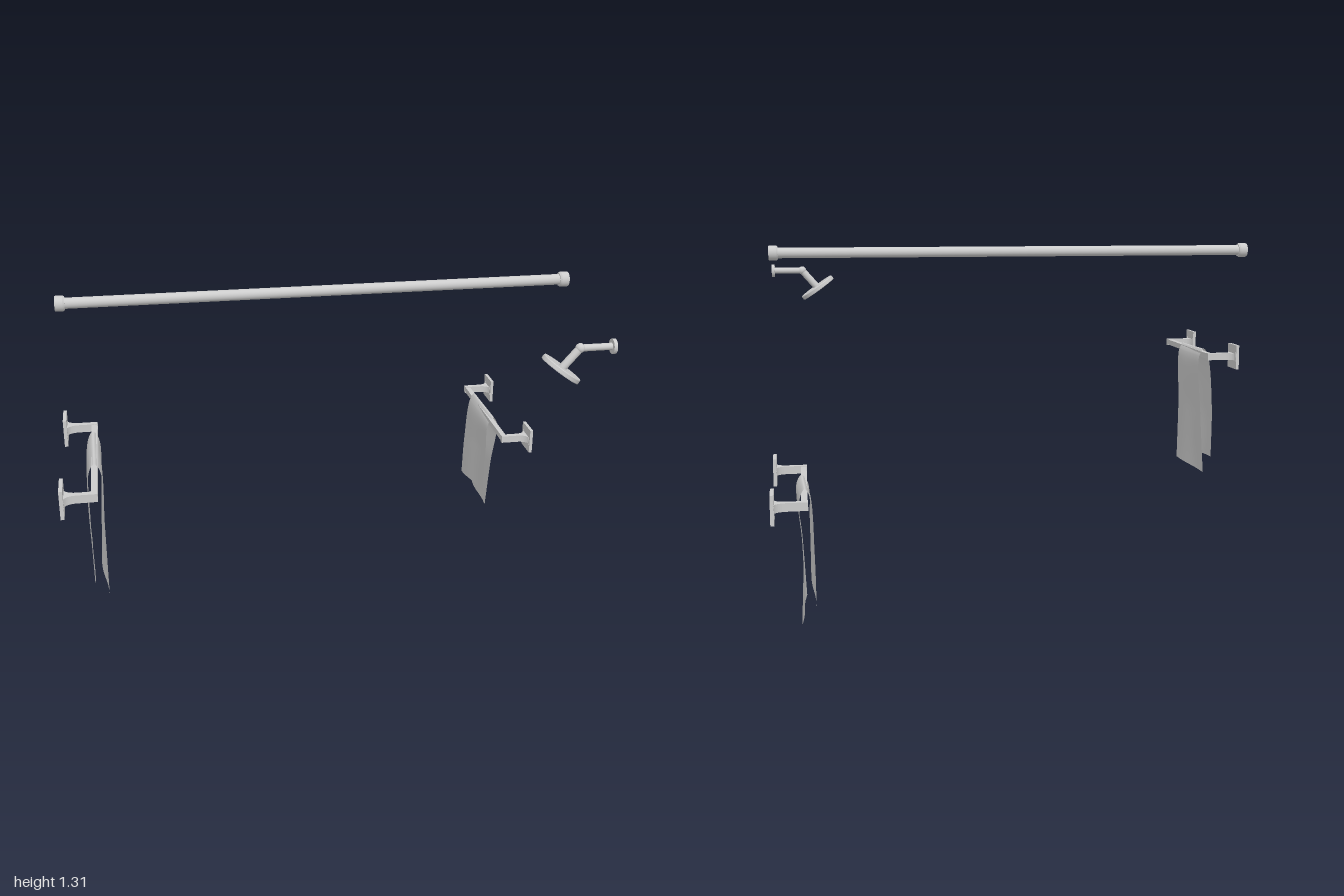
import * as THREE from 'three';

const grey = new THREE.MeshStandardMaterial({ color: 0xcccccc });
const cloth = new THREE.MeshStandardMaterial({ color: 0xcccccc, side: THREE.DoubleSide });

function add(parent, name, geometry, material = grey) {
  const mesh = new THREE.Mesh(geometry, material);
  mesh.name = name;
  parent.add(mesh);
  return mesh;
}

// Closed lathe profile of [radius, height] pairs, each edge kept sharp
function lathe(profile, segments = 32) {
  const pts = [];
  for (let i = 0; i < profile.length - 1; i++) {
    pts.push(new THREE.Vector2(...profile[i]), new THREE.Vector2(...profile[i + 1]));
  }
  return new THREE.LatheGeometry(pts, segments);
}

// Cylinder between two points
function rodBetween(parent, name, a, b, radius) {
  const from = new THREE.Vector3(...a), to = new THREE.Vector3(...b);
  const dir = to.clone().sub(from);
  const mesh = add(parent, name, new THREE.CylinderGeometry(radius, radius, dir.length(), 24));
  mesh.position.copy(from).add(to).multiplyScalar(0.5);
  mesh.quaternion.setFromUnitVectors(new THREE.Vector3(0, 1, 0), dir.normalize());
  return mesh;
}

// Wall bracket: slotted square plate at x = 0 with a flared arm reaching to +x
function bracket() {
  const g = new THREE.Group();
  g.name = 'wallBracket';
  const h = 0.0525;
  const plate = new THREE.Shape();
  plate.moveTo(-h, -h).lineTo(h, -h).lineTo(h, h).lineTo(-h, h).closePath();
  for (const s of [-0.04, 0.04]) {
    const slot = new THREE.Path();
    slot.moveTo(s - 0.003, -0.022).lineTo(s - 0.003, 0.022);
    slot.lineTo(s + 0.003, 0.022).lineTo(s + 0.003, -0.022).closePath();
    plate.holes.push(slot);
  }
  const plateMesh = add(g, 'wallPlate', new THREE.ExtrudeGeometry(plate, { depth: 0.013, bevelEnabled: false }));
  plateMesh.rotation.y = Math.PI / 2;

  const arm = new THREE.Shape();
  arm.moveTo(0.01, -0.04);
  arm.quadraticCurveTo(0.02, -0.012, 0.055, -0.011);
  arm.lineTo(0.127, -0.011).lineTo(0.127, 0.011).lineTo(0.055, 0.011);
  arm.quadraticCurveTo(0.02, 0.012, 0.01, 0.04);
  const armMesh = add(g, 'flaredArm', new THREE.ExtrudeGeometry(arm, { depth: 0.03, bevelEnabled: false, curveSegments: 8 }));
  armMesh.rotation.x = Math.PI / 2;
  armMesh.position.y = 0.015;
  return g;
}

// Two brackets on the wall x = -1 joined by a square bar
function towelBar(y) {
  const g = new THREE.Group();
  g.name = 'towelBar';
  for (const z of [0.198, 0.797]) {
    const b = bracket();
    b.position.set(-1, y, z);
    g.add(b);
  }
  add(g, 'bar', new THREE.BoxGeometry(0.022, 0.024, 0.6)).position.set(-0.885, y + 0.001, 0.4975);
  return g;
}

// Cloth lofted between its two draped side edges
function towel(edgeA, edgeB) {
  const [a, b] = [edgeA, edgeB].map(
    (e) => new THREE.CatmullRomCurve3(e.map((p) => new THREE.Vector3(...p)), false, 'centripetal'));
  const geo = new THREE.PlaneGeometry(1, 1, 10, 72);
  const uv = geo.attributes.uv, pos = geo.attributes.position;
  for (let i = 0; i < pos.count; i++) {
    const u = uv.getX(i), v = uv.getY(i);
    const p = a.getPoint(v).lerp(b.getPoint(v), u);
    const hang = Math.abs(v - 0.5) * 2;
    p.x += 0.003 * hang * Math.sin(u * Math.PI * 2);
    pos.setXYZ(i, p.x, p.y, p.z);
  }
  geo.computeVertexNormals();
  return geo;
}

export function createModel() {
  const model = new THREE.Group();
  model.name = 'bathroomFittings';

  // Hollow curtain rod with a collar at each end
  const rod = add(model, 'curtainRod', lathe([
    [0.018, -1], [0.028, -1], [0.03, -0.995], [0.03, -0.97], [0.026, -0.963], [0.021, -0.963],
    [0.021, 0.963], [0.026, 0.963], [0.03, 0.97], [0.03, 0.995], [0.028, 1], [0.018, 1], [0.018, -1],
  ]));
  rod.rotation.z = -Math.PI / 2;
  rod.position.set(0, 1.277, 0.103);

  // Shower head on a bent arm
  const shower = new THREE.Group();
  shower.name = 'showerHead';
  shower.position.z = 0.625;
  model.add(shower);
  rodBetween(shower, 'wallFlange', [1, 1.18, 0], [0.987, 1.18, 0], 0.028);
  rodBetween(shower, 'showerArm', [0.99, 1.18, 0], [0.868, 1.18, 0], 0.013);
  add(shower, 'joint', new THREE.SphereGeometry(0.018, 20, 14)).position.set(0.868, 1.18, 0);
  rodBetween(shower, 'showerNeck', [0.868, 1.18, 0], [0.806, 1.108, 0], 0.015);
  const disc = add(shower, 'sprayDisc', lathe([
    [0, -0.009], [0.08, -0.009], [0.081, -0.006], [0.081, 0.006], [0.079, 0.009], [0, 0.009],
  ], 40));
  disc.position.set(0.802, 1.104, 0);
  disc.rotation.z = -0.62;

  // Towel bars on opposite walls
  model.add(towelBar(0.809));
  const lower = towelBar(0.456);
  lower.rotation.y = Math.PI;
  model.add(lower);

  // Draped towels: short flap, fold over the bar, long flap
  add(model, 'upperTowel', towel(
    [[-0.915, 0.33, 0.57], [-0.915, 0.58, 0.575], [-0.905, 0.8, 0.58], [-0.885, 0.829, 0.58],
      [-0.866, 0.8, 0.58], [-0.865, 0.55, 0.573], [-0.865, 0.285, 0.585]],
    [[-0.925, 0.345, 0.27], [-0.928, 0.58, 0.28], [-0.91, 0.8, 0.295], [-0.89, 0.832, 0.295],
      [-0.869, 0.8, 0.295], [-0.878, 0.55, 0.29], [-0.895, 0.27, 0.285]]), cloth);
  add(model, 'lowerTowel', towel(
    [[0.868, 0.1, -0.4], [0.868, 0.3, -0.395], [0.871, 0.445, -0.39], [0.893, 0.476, -0.39],
      [0.913, 0.445, -0.39], [0.897, 0.25, -0.4], [0.885, 0.018, -0.412]],
    [[0.853, 0.055, -0.712], [0.855, 0.25, -0.7], [0.865, 0.45, -0.675], [0.883, 0.485, -0.67],
      [0.902, 0.45, -0.67], [0.895, 0.25, -0.685], [0.905, 0, -0.698]]), cloth);

  return model;
}
